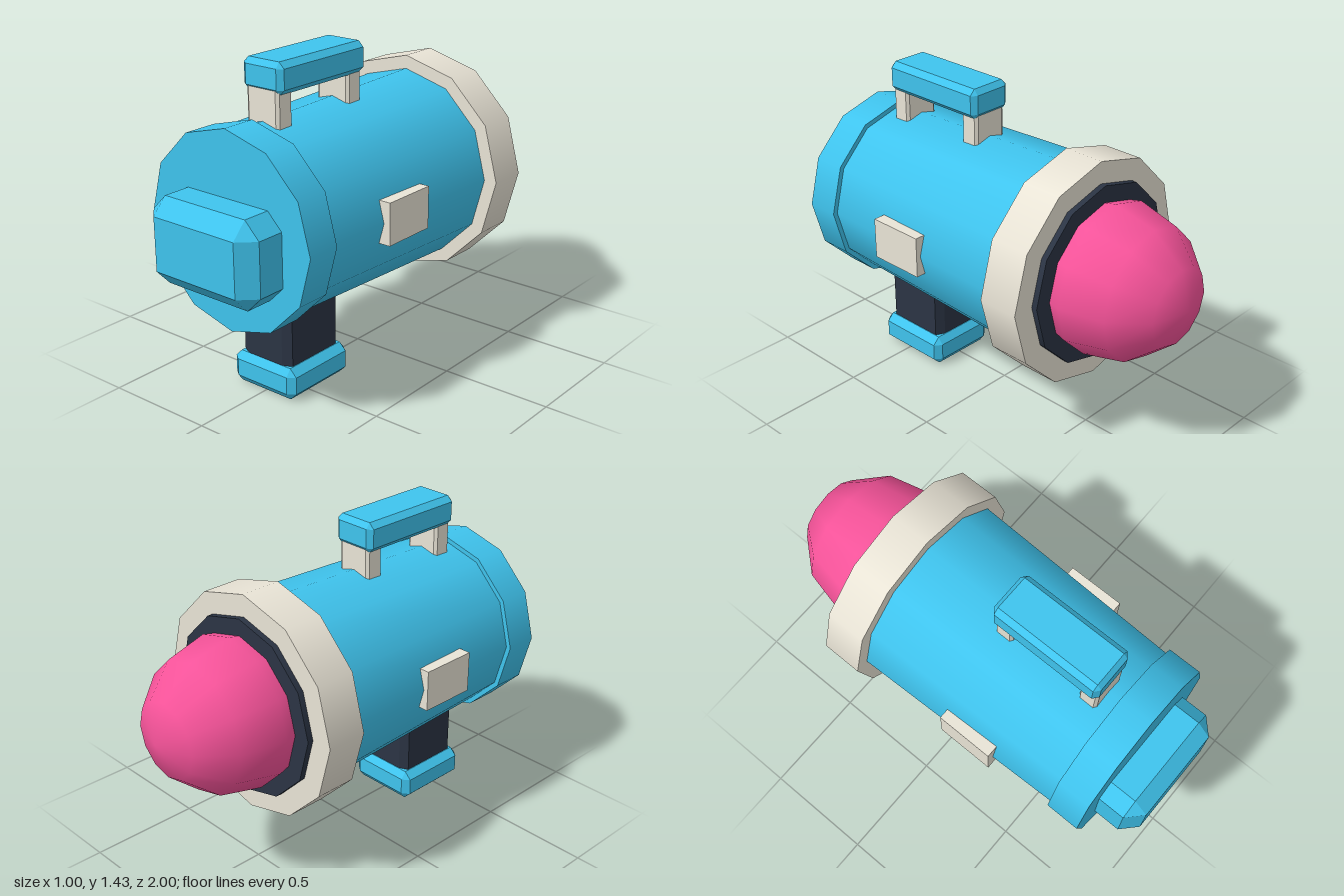
import * as THREE from 'three';
import { ConvexGeometry } from 'three/addons/geometries/ConvexGeometry.js';

const AXIS_Y = 0.775;
const paint = (color) => new THREE.MeshStandardMaterial({ color });
const BLUE = paint(0x3fc4ee), CREAM = paint(0xe9e4d6), DARK = paint(0x2b3444), PINK = paint(0xf7539a);

export function createModel() {
  const model = new THREE.Group();

  function add(name, geometry, material) {
    const mesh = new THREE.Mesh(geometry, material);
    mesh.name = name;
    model.add(mesh);
    return mesh;
  }

  // Twelve-sided barrel section along z, from front (z0) to back (z1)
  function barrel(name, z0, z1, r0, r1, material) {
    const g = new THREE.CylinderGeometry(r0, r1, z0 - z1, 12);
    g.rotateX(Math.PI / 2);
    g.translate(0, AXIS_Y, (z0 + z1) / 2);
    return add(name, g, material);
  }

  // Box between two corners, with every edge cut by bevel [bx, by, bz]
  function bevelBox(name, min, max, bevel, material) {
    const points = [];
    const centre = min.map((v, i) => (v + max[i]) / 2);
    const half = min.map((v, i) => (max[i] - v) / 2);
    for (const sx of [-1, 1]) for (const sy of [-1, 1]) for (const sz of [-1, 1]) {
      const s = [sx, sy, sz];
      for (let full = 0; full < 3; full++) {
        points.push(new THREE.Vector3(...s.map((sign, i) =>
          centre[i] + sign * (half[i] - (i === full ? 0 : bevel[i])))));
      }
    }
    return add(name, new ConvexGeometry(points), material);
  }

  // Body and its end rings
  barrel('body', 0.66, -0.36, 0.405, 0.438, BLUE);
  barrel('frontCap', 0.81, 0.655, 0.427, 0.427, BLUE);
  barrel('rearRing', -0.345, -0.53, 0.498, 0.498, CREAM);
  barrel('rearGasket', -0.5, -0.556, 0.4, 0.4, DARK);

  // Rear dome
  const dome = new THREE.SphereGeometry(1, 12, 6);
  dome.rotateX(-Math.PI / 2);
  dome.scale(0.337, 0.337, 0.39);
  dome.translate(0, AXIS_Y, -0.61);
  add('rearDome', dome, PINK);

  // Front block
  bevelBox('frontBlock', [-0.285, 0.545, 0.68], [0.285, 0.918, 1], [0.07, 0.07, 0.066], BLUE);

  // Top handle on two posts
  bevelBox('topHandle', [-0.106, 1.295, 0.075], [0.106, 1.43, 0.602], [0.025, 0.025, 0.02], BLUE);
  for (const z of [0.127, 0.555]) {
    bevelBox('handlePost', [-0.085, 1.1, z - 0.043], [0.085, 1.36, z + 0.043], [0.014, 0.025, 0.01], CREAM);
  }

  // Grip with its foot; the grip end shows through underneath
  bevelBox('grip', [-0.135, 0, 0.3], [0.135, 0.48, 0.617], [0.042, 0.04, 0.02], DARK);
  bevelBox('gripFoot', [-0.171, 0.002, 0.272], [0.171, 0.145, 0.642], [0.033, 0.033, 0.025], BLUE);

  // Side pads
  for (const side of [-1, 1]) {
    const pad = new THREE.BoxGeometry(0.07, 0.185, 0.262);
    pad.translate(side * 0.41, AXIS_Y + 0.002, 0.217);
    add(side > 0 ? 'leftPad' : 'rightPad', pad, CREAM);
  }

  return model;
}
